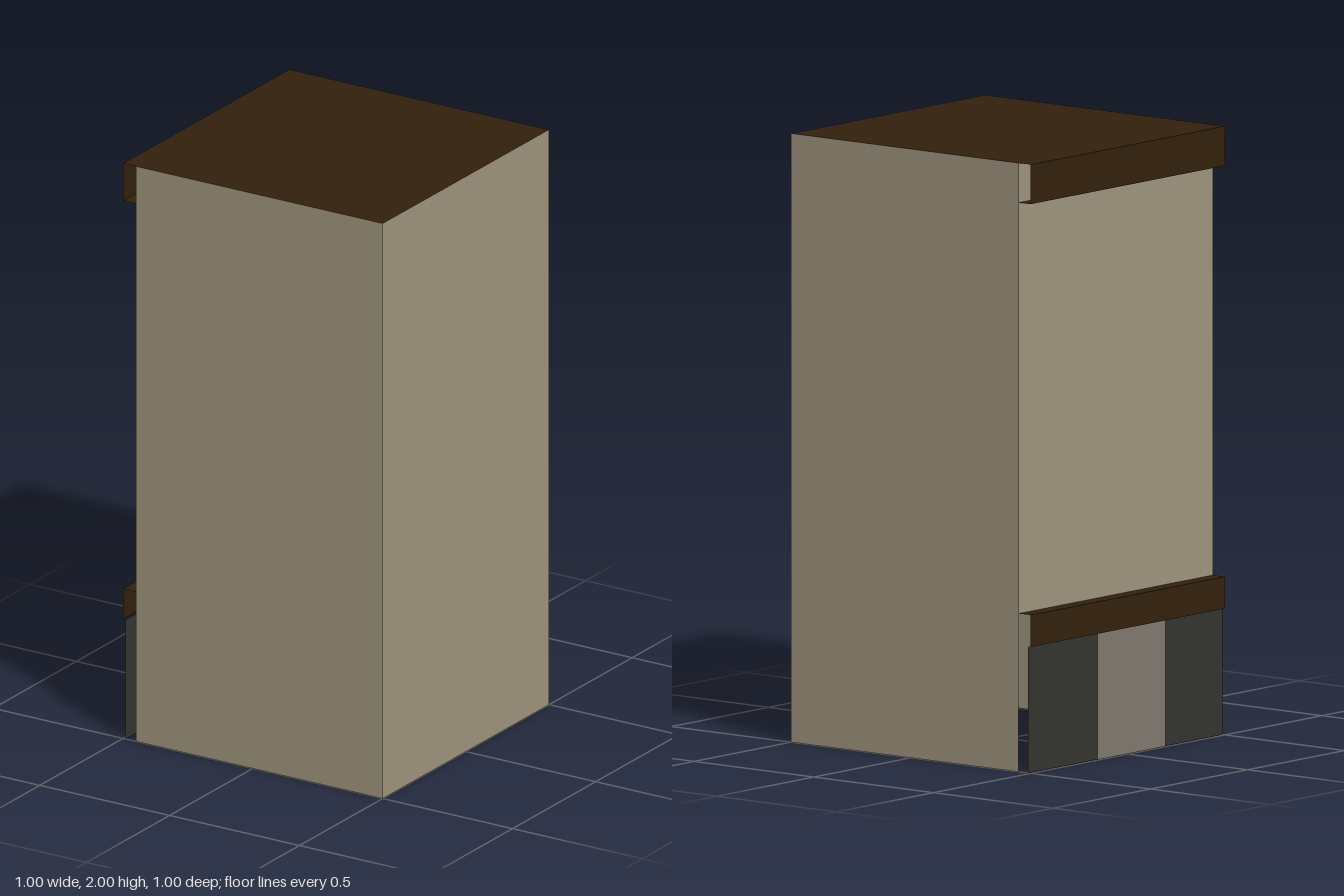
import * as THREE from 'three';

const flat = (name, color) => {
  const m = new THREE.MeshStandardMaterial({ color, side: THREE.DoubleSide });
  m.name = name;
  return m;
};

export function createModel() {
  const model = new THREE.Group();
  model.name = 'shopBuilding';
  const stone = flat('stone', 0x9f947d);
  const timber = flat('darkTimber', 0x33200d);
  const glass = flat('darkGlass', 0x34352f);
  const door = flat('doorGrey', 0x807970);

  const H = 2, R = 0.5, WALL = -0.45, LEDGE = 0.52, LEDGE_LOW = 0.415, CORNICE_LOW = 1.87;

  const add = (name, mat, geo, x, y, z) => {
    const mesh = new THREE.Mesh(geo, mat);
    mesh.name = name;
    mesh.position.set(x, y, z);
    model.add(mesh);
  };
  // upright sheet facing z
  const sheetZ = (name, mat, x0, x1, y0, y1, z) => {
    const g = new THREE.PlaneGeometry(x1 - x0, y1 - y0);
    if (z < 0) g.rotateY(Math.PI);
    add(name, mat, g, (x0 + x1) / 2, (y0 + y1) / 2, z);
  };
  // upright sheet facing x
  const sheetX = (name, mat, x, y0, y1, z0, z1) => {
    const g = new THREE.PlaneGeometry(z1 - z0, y1 - y0).rotateY(Math.sign(x) * Math.PI / 2);
    add(name, mat, g, x, (y0 + y1) / 2, (z0 + z1) / 2);
  };
  // level sheet facing up (1) or down (-1)
  const sheetY = (name, mat, x0, x1, y, up) => {
    const g = new THREE.PlaneGeometry(x1 - x0, 2 * R).rotateX(-up * Math.PI / 2);
    add(name, mat, g, (x0 + x1) / 2, y, 0);
  };

  // Walls: three full height, the shop side stops above the open ground floor
  sheetZ('frontWall', stone, WALL, R, 0, H, R);
  sheetZ('backWall', stone, WALL, R, 0, H, -R);
  sheetX('leftWall', stone, R, 0, H, -R, R);
  sheetX('upperShopWall', stone, WALL, LEDGE, H, -R, R);

  // Roof with overhanging cornice, open at its ends
  sheetY('roof', timber, -R, R, H, 1);
  sheetX('corniceFascia', timber, -R, CORNICE_LOW, H, -R, R);
  sheetY('corniceSoffit', timber, -R, WALL, CORNICE_LOW, -1);

  // Ledge above the shop front
  sheetY('ledgeTop', timber, -R, WALL, LEDGE, 1);
  sheetX('ledgeFascia', timber, -R, LEDGE_LOW, LEDGE, -R, R);

  // Shop front glazing and its central door
  sheetX('shopWindow', glass, -0.49, 0, LEDGE_LOW, -R, R);
  sheetX('shopDoor', door, -0.495, 0, LEDGE_LOW, -0.15, 0.2);

  return model;
}
